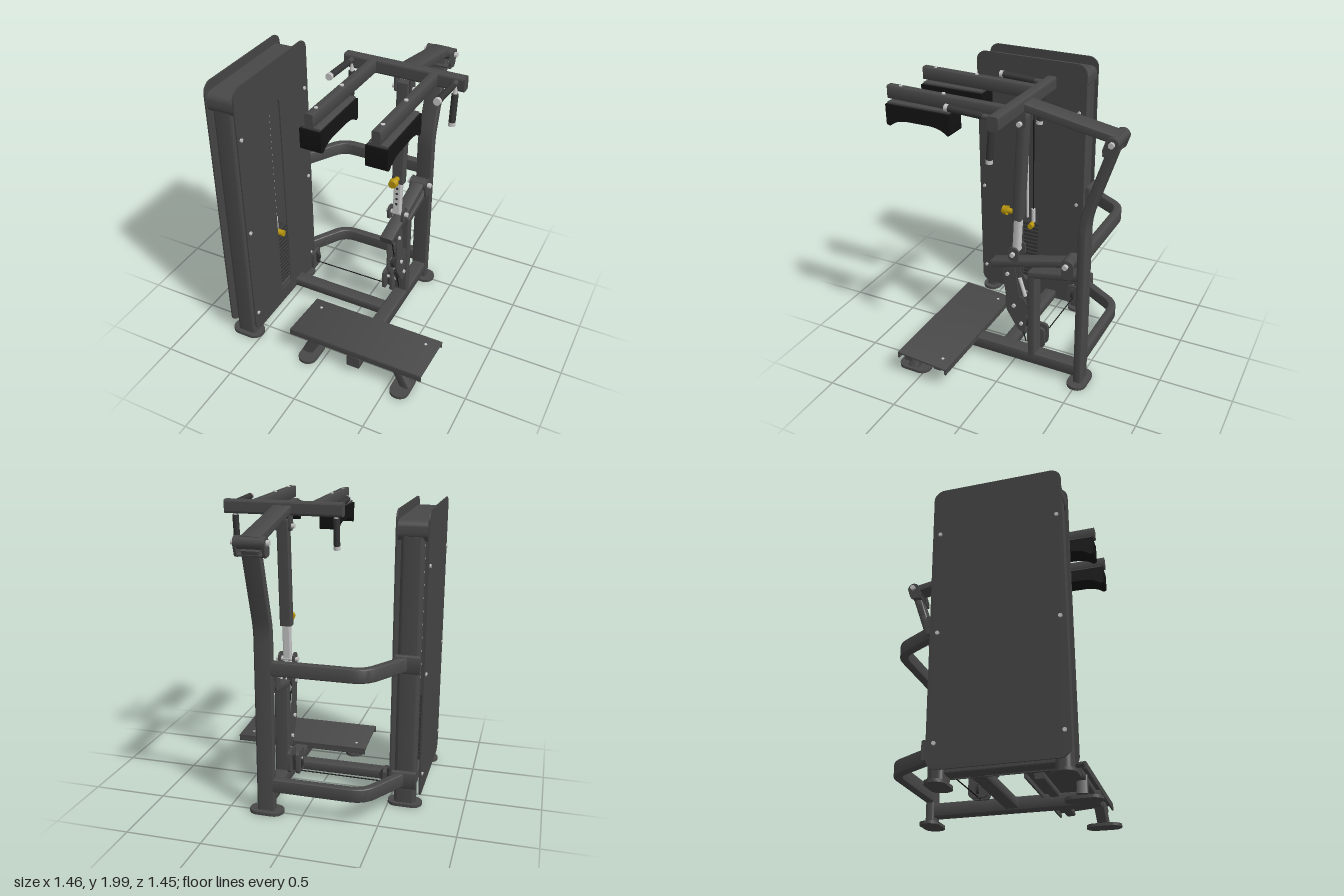
import * as THREE from 'three';
import { toCreasedNormals } from 'three/addons/utils/BufferGeometryUtils.js';

const paint = (name, color) => new THREE.MeshStandardMaterial({ name, color });

export function createModel() {
  const frame = paint('charcoal frame', 0x484848);
  const shroud = paint('shroud grey', 0x444444);
  const black = paint('pad black', 0x141414);
  const grip = paint('grip rubber', 0x343434);
  const steel = paint('bright steel', 0xc4c4c4);
  const yellow = paint('adjuster yellow', 0xb8960c);
  const model = new THREE.Group();
  const V = (x, y, z) => new THREE.Vector3(x, y, z);
  const MX = 0.242; // centre line of the exercise arm

  function add(name, geo, mat) {
    const m = new THREE.Mesh(geo, mat);
    m.name = name;
    model.add(m);
    return m;
  }
  function roundRect(w, h, r, cx = 0, cy = 0) {
    const s = new THREE.Shape(), x = w / 2, y = h / 2;
    s.absarc(cx + x - r, cy + y - r, r, 0, Math.PI / 2);
    s.absarc(cx - x + r, cy + y - r, r, Math.PI / 2, Math.PI);
    s.absarc(cx - x + r, cy - y + r, r, Math.PI, Math.PI * 1.5);
    s.absarc(cx + x - r, cy - y + r, r, Math.PI * 1.5, Math.PI * 2);
    s.closePath();
    return s;
  }
  const extrude = (shape, depth) => toCreasedNormals(
    new THREE.ExtrudeGeometry(shape, { depth, bevelEnabled: false, curveSegments: 8 }), 0.6);
  // straight rounded tube; w is sideways, h is vertical (or z for uprights)
  function bar(name, a, b, w, h, mat = frame, r = 0.01) {
    const m = add(name, extrude(roundRect(w, h, r), a.distanceTo(b)), mat);
    if (Math.abs(b.x - a.x) + Math.abs(b.z - a.z) < 1e-4) m.up.set(0, 0, 1);
    m.position.copy(a);
    m.lookAt(b);
    return m;
  }
  function rod(name, a, b, r, mat, r2 = r, sides = 20) {
    const m = add(name, new THREE.CylinderGeometry(r2, r, a.distanceTo(b), sides), mat);
    m.position.copy(a).add(b).multiplyScalar(0.5);
    m.quaternion.setFromUnitVectors(V(0, 1, 0), b.clone().sub(a).normalize());
    return m;
  }
  const pin = (name, x0, x1, y, z, r, mat) => rod(name, V(x0, y, z), V(x1, y, z), r, mat);
  // plate drawn in (z, y) and given thickness along x
  function sidePlate(name, shape, x, t, mat) {
    const g = extrude(shape, t);
    g.rotateY(-Math.PI / 2);
    g.translate(x + t / 2, 0, 0);
    return add(name, g, mat);
  }
  // tube with one rounded bend
  function bentTube(name, a, b, c, bend, w, h) {
    const p = b.clone().add(a.clone().sub(b).setLength(bend));
    const q = b.clone().add(c.clone().sub(b).setLength(bend));
    const path = new THREE.CurvePath();
    path.add(new THREE.LineCurve3(a, p));
    path.add(new THREE.QuadraticBezierCurve3(p, b, q));
    path.add(new THREE.LineCurve3(q, c));
    const g = new THREE.ExtrudeGeometry(roundRect(w, h, 0.01),
      { steps: 48, extrudePath: path, bevelEnabled: false, curveSegments: 4 });
    return add(name, toCreasedNormals(g, 0.6), frame);
  }
  function foot(name, x, z, w, d) {
    const g = extrude(roundRect(w, d, Math.min(w, d) / 2 - 0.002), 0.02);
    g.rotateX(-Math.PI / 2);
    g.translate(x, 0, z);
    add(name, g, frame);
  }

  // Weight tower: side shrouds, the inner one slotted
  const TX = -0.61;
  const outline = () => roundRect(0.835, 1.89, 0.07, 0.2275, 1.015);
  const slotted = outline();
  slotted.holes.push(new THREE.Path(roundRect(0.125, 1.52, 0.04, 0.228, 0.93).getPoints(8).reverse()));
  sidePlate('innerShroud', slotted, -0.512, 0.01, shroud);
  sidePlate('outerShroud', outline(), -0.71, 0.01, shroud);
  for (const z of [0.61, -0.14]) for (const y of [0.225, 0.92, 1.62])
    for (const [x0, x1] of [[-0.725, -0.71], [-0.512, -0.497]]) pin('shroudBolt', x0, x1, y, z, 0.012, steel);
  bar('towerFrontColumn', V(TX, 0.02, 0.585), V(TX, 1.8, 0.585), 0.145, 0.09, frame, 0.03);
  bar('towerRearColumn', V(TX, 0.02, -0.14), V(TX, 1.8, -0.14), 0.145, 0.09, frame, 0.03);
  sidePlate('towerCap', roundRect(0.82, 0.13, 0.05, 0.2275, 1.835), TX, 0.19, frame);
  bar('towerBaseBeam', V(TX, 0.105, -0.12), V(TX, 0.105, 0.57), 0.1, 0.09);
  foot('towerFrontFoot', TX, 0.59, 0.23, 0.14);
  foot('towerRearFoot', TX, -0.145, 0.23, 0.13);

  // Weight stack
  for (let i = 0; i < 15; i++)
    bar('weightPlate', V(TX, 0.206 + i * 0.0322, 0.14), V(TX, 0.206 + i * 0.0322, 0.316), 0.15, 0.027, grip, 0.005);
  rod('stackCable', V(-0.56, 0.75, 0.228), V(-0.56, 1.8, 0.228), 0.005, black);
  rod('selectorRod', V(-0.56, 0.66, 0.228), V(-0.56, 0.78, 0.228), 0.015, steel);
  pin('selectorPin', -0.55, -0.5, 0.655, 0.228, 0.022, yellow);
  for (const z of [0.155, 0.3]) rod('guideRod', V(TX, 0.15, z), V(TX, 1.8, z), 0.01, steel);

  // Base frame and rear upright
  bar('mainBeam', V(MX, 0.105, 0.63), V(MX, 0.105, -0.5), 0.095, 0.09);
  bar('crossBeam', V(-0.56, 0.105, 0.055), V(0.2, 0.105, 0.055), 0.09, 0.065);
  bentTube('rearUpright', V(MX, 0.02, -0.507), V(MX, 1.25, -0.507), V(MX, 1.77, -0.675), 0.08, 0.056, 0.115);
  foot('rearFoot', MX, -0.505, 0.23, 0.135);
  bar('frontPost', V(MX, 0.1, -0.16), V(MX, 0.79, -0.16), 0.095, 0.055);
  bar('topBrace', V(MX, 0.77, -0.14), V(MX, 0.845, -0.5), 0.095, 0.05);
  for (const y of [0.2, 0.998]) {
    bentTube('sideTube', V(0.2, y, -0.507), V(-0.405, y, -0.507), V(-0.61, y, -0.17), 0.09, 0.055, 0.092);
    bar('tubeMount', V(-0.53, y, -0.21), V(-0.69, y, -0.21), 0.03, 0.12);
  }

  // Low cable run and its pulleys
  sidePlate('pulleyHousing', roundRect(0.13, 0.16, 0.03, -0.15, 0.22), 0.185, 0.02, frame);
  sidePlate('pulleyHousing', roundRect(0.13, 0.16, 0.03, -0.15, 0.22), 0.125, 0.02, frame);
  sidePlate('towerPulleyBracket', roundRect(0.1, 0.15, 0.02, -0.15, 0.17), -0.475, 0.02, frame);
  rod('lowPulley', V(0.155, 0.2, -0.16), V(0.155, 0.2, -0.14), 0.055, grip);
  rod('lowPulley', V(-0.485, 0.19, -0.16), V(-0.485, 0.19, -0.14), 0.05, grip);
  rod('lowCable', V(-0.5, 0.14, -0.15), V(0.17, 0.145, -0.15), 0.004, black);
  pin('housingBolt', 0.11, 0.2, 0.23, -0.14, 0.013, steel);

  // Standing platform
  bar('platformTop', V(0.245, 0.193, 0.63), V(0.245, 0.165, 0.255), 0.97, 0.016, frame, 0.004);
  bar('platformFrontLip', V(-0.24, 0.175, 0.625), V(0.73, 0.175, 0.625), 0.012, 0.045, frame, 0.003);
  bar('platformRearLip', V(-0.24, 0.15, 0.262), V(0.73, 0.15, 0.262), 0.012, 0.045, frame, 0.003);
  for (const z of [0.34, 0.57]) bar('platformRail', V(-0.21, 0.148, z), V(0.7, 0.148, z), 0.06, 0.045);
  for (const s of [-1, 1]) {
    bar('platformLeg', V(0.245 + s * 0.375, 0.015, 0.58), V(0.245 + s * 0.3, 0.15, 0.57), 0.07, 0.07);
    foot('platformFoot', 0.245 + s * 0.345, 0.585, 0.132, 0.235);
    rod('platformBolt', V(0.24 + s * 0.4, 0.17, 0.33), V(0.24 + s * 0.4, 0.181, 0.33), 0.01, steel);
  }

  // Pivot at the head of the upright and the shoulder arm
  pin('armPivotTube', 0.145, 0.34, 1.81, -0.685, 0.04, frame);
  pin('armPivotBolt', 0.125, 0.36, 1.81, -0.685, 0.018, steel);
  for (const x of [0.155, 0.33]) {
    const ear = sidePlate('pivotEar', roundRect(0.085, 0.12, 0.03), x, 0.016, frame);
    ear.position.set(0, 1.785, -0.677);
    ear.rotation.x = -0.31;
  }
  bar('pivotSaddle', V(0.15, 1.735, -0.66), V(0.335, 1.735, -0.66), 0.07, 0.02);
  bar('shoulderArm', V(MX, 1.82, -0.7), V(MX, 1.935, -0.07), 0.125, 0.055);
  bar('shoulderCrossbar', V(-0.155, 1.935, -0.087), V(0.635, 1.935, -0.087), 0.068, 0.09, frame, 0.015);

  // Shoulder rails with arched pads
  for (const x of [0.038, 0.44]) {
    bar('shoulderRail', V(x, 1.935, -0.08), V(x, 1.948, 0.725), 0.052, 0.085);
    const s = new THREE.Shape();
    s.moveTo(0.268, 1.885);
    s.lineTo(0.268, 1.765);
    s.quadraticCurveTo(0.27, 1.75, 0.29, 1.75);
    s.quadraticCurveTo(0.33, 1.79, 0.41, 1.793);
    s.lineTo(0.56, 1.793);
    s.quadraticCurveTo(0.65, 1.79, 0.69, 1.75);
    s.quadraticCurveTo(0.717, 1.75, 0.717, 1.765);
    s.lineTo(0.717, 1.885);
    sidePlate('shoulderPad', s, x, 0.134, black);
    bar('padBase', V(x, 1.892, 0.28), V(x, 1.892, 0.705), 0.115, 0.016, frame, 0.005);
    for (const z of [0.34, 0.64]) rod('railBolt', V(x, 1.98, z), V(x, 1.992, z), 0.012, steel);
  }

  // Forward and hanging handles
  for (const x of [-0.1, 0.583]) {
    rod('forwardStem', V(x, 1.95, -0.07), V(x, 1.953, 0.01), 0.016, frame);
    rod('forwardGrip', V(x, 1.953, 0), V(x, 1.963, 0.222), 0.021, grip);
    rod('forwardCap', V(x, 1.963, 0.222), V(x, 1.964, 0.246), 0.022, steel);
    rod('hangingStem', V(x, 1.92, -0.065), V(x, 1.86, -0.05), 0.014, steel);
    rod('hangingGrip', V(x, 1.875, -0.052), V(x, 1.695, -0.034), 0.021, grip);
    rod('hangingCap', V(x, 1.695, -0.034), V(x, 1.67, -0.032), 0.022, steel);
  }

  // Telescoping link with holes and a pop pin
  const top = V(MX, 1.86, -0.09), low = V(MX, 0.92, -0.035);
  const along = (t) => top.clone().lerp(low, t);
  bar('linkOuterTube', along(0), along(0.755), 0.08, 0.062);
  bar('linkInnerTube', along(0.7), along(1), 0.052, 0.045, steel, 0.006);
  for (let i = 0; i < 4; i++) {
    const p = along(0.8 + i * 0.042);
    rod('linkHole', p.clone().add(V(0, 0, 0.02)), p.clone().add(V(0, 0, 0.0245)), 0.009, grip, 0.009, 12);
  }
  rod('popPinCollar', V(MX, 1.19, -0.03), V(MX, 1.19, 0.035), 0.018, yellow);
  rod('popPinKnob', V(MX, 1.19, 0.028), V(MX, 1.19, 0.062), 0.032, yellow, 0.027);
  for (const s of [-1, 1]) {
    sidePlate('linkTopEar', roundRect(0.07, 0.13, 0.03, -0.09, 1.855), MX + s * 0.05, 0.012, frame);
    sidePlate('linkLowEar', roundRect(0.075, 0.1, 0.03, -0.035, 0.905), MX + s * 0.05, 0.014, frame);
  }
  pin('linkTopBolt', 0.165, 0.32, 1.82, -0.09, 0.016, steel);
  pin('linkLowBolt', 0.165, 0.32, 0.91, -0.035, 0.016, steel);

  // Lever arm and its rear pivot
  bar('leverArm', V(MX, 0.785, 0.135), V(MX, 0.93, -0.44), 0.09, 0.05);
  pin('leverPivotTube', 0.185, 0.3, 0.92, -0.41, 0.04, frame);
  pin('leverPivotBolt', 0.16, 0.33, 0.92, -0.41, 0.018, steel);
  for (const x of [0.185, 0.3]) sidePlate('leverPivotEar', roundRect(0.08, 0.13, 0.03, -0.42, 0.89), x, 0.014, frame);

  // Hanging cam plates with pulleys and cable
  for (const s of [-1, 1]) {
    const c = new THREE.Shape();
    c.moveTo(0.06, 0.8);
    c.lineTo(0.03, 0.56);
    c.quadraticCurveTo(0.045, 0.48, 0.02, 0.44);
    c.lineTo(-0.04, 0.34);
    c.quadraticCurveTo(-0.08, 0.28, -0.11, 0.31);
    c.lineTo(-0.13, 0.52);
    c.quadraticCurveTo(-0.11, 0.58, -0.07, 0.58);
    c.lineTo(-0.03, 0.84);
    sidePlate('camPlate', c, MX + s * 0.035, 0.008, frame);
  }
  for (const [y, z, r] of [[0.74, 0.015, 0.035], [0.5, -0.03, 0.055], [0.37, -0.085, 0.045]]) {
    pin('camPulley', MX - 0.015, MX + 0.015, y, z, r, grip);
    pin('camBolt', MX - 0.052, MX + 0.052, y, z, 0.013, steel);
  }
  rod('camLink', V(MX, 0.7, -0.055), V(MX, 0.57, -0.095), 0.013, steel);
  rod('camCable', V(MX, 0.72, 0.04), V(MX, 0.2, -0.1), 0.004, black);

  return model;
}
